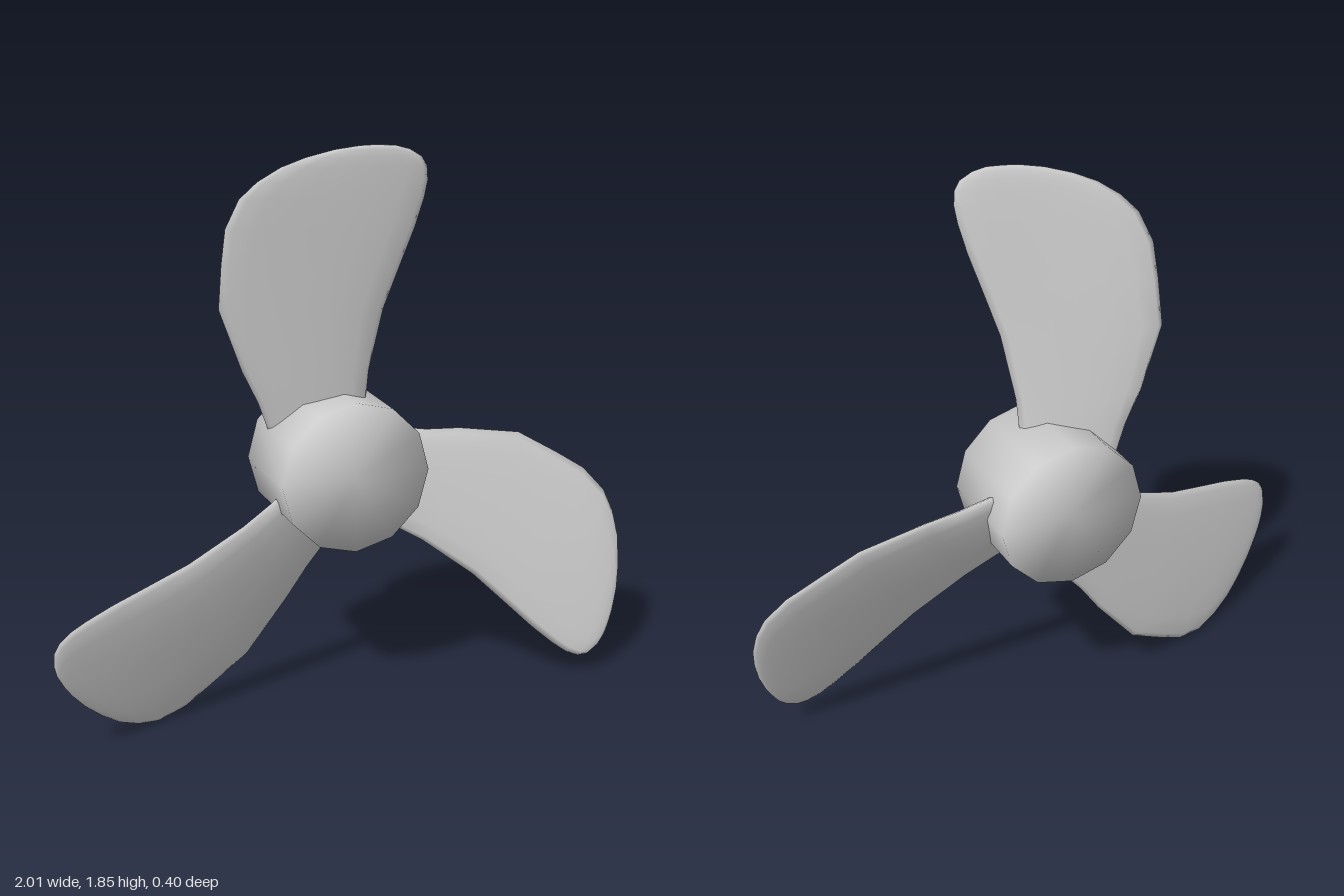
import * as THREE from 'three';
import { mergeVertices } from 'three/addons/utils/BufferGeometryUtils.js';

const BLADES = 3;
const SIDES = 16;

// Blade stations: distance from the axis, trailing x, leading x, half thickness
const STATIONS = [
  [0.08, -0.19, 0.085, 0.032],
  [0.25, -0.25, 0.076, 0.032],
  [0.36, -0.302, 0.078, 0.031],
  [0.57, -0.378, 0.107, 0.029],
  [0.72, -0.376, 0.148, 0.027],
  [0.835, -0.37, 0.18, 0.025],
  [0.93, -0.335, 0.2, 0.023],
  [0.985, -0.285, 0.206, 0.021],
  [1.03, -0.22, 0.2, 0.019],
  [1.06, -0.15, 0.182, 0.017],
  [1.083, -0.07, 0.145, 0.013],
  [1.094, 0, 0.105, 0.008],
  [1.097, 0.05, 0.05, 0],
];

// Pitch and rake of the blade, with a slight bow towards the trailing edge
function bladeZ(x, r) {
  const bow = -0.02 * Math.max(0, -x / 0.37) * Math.sin(Math.PI * Math.min(1, r / 1.1));
  return -0.05 + 0.307 * x + 0.178 * r + bow;
}

// Loft of flattened, round-edged sections along the blade
function bladeGeometry() {
  const positions = [];
  const index = [];
  STATIONS.forEach(([r, x0, x1, half], i) => {
    for (let j = 0; j < SIDES; j++) {
      const a = (j / SIDES) * Math.PI * 2;
      const x = (x0 + x1) / 2 + ((x1 - x0) / 2) * Math.cos(a);
      const s = Math.sin(a);
      positions.push(x, r, bladeZ(x, r) + half * Math.sign(s) * Math.pow(Math.abs(s), 0.7));
      if (i < STATIONS.length - 1) {
        const k = (j + 1) % SIDES;
        const p = i * SIDES + j, q = i * SIDES + k;
        index.push(p, q + SIDES, q, p, p + SIDES, q + SIDES);
      }
    }
  });
  const geometry = new THREE.BufferGeometry();
  geometry.setAttribute('position', new THREE.Float32BufferAttribute(positions, 3));
  geometry.setIndex(index);
  const welded = mergeVertices(geometry);
  welded.computeVertexNormals();
  return welded;
}

// Twelve-sided hub, welded so its shading runs smoothly over the rims
function hubGeometry() {
  const geometry = new THREE.CylinderGeometry(0.25, 0.25, 0.33, 12);
  geometry.rotateX(Math.PI / 2);
  geometry.deleteAttribute('normal');
  geometry.deleteAttribute('uv');
  const welded = mergeVertices(geometry);
  welded.computeVertexNormals();
  return welded;
}

export function createModel() {
  const group = new THREE.Group();
  group.name = 'propeller';
  const material = new THREE.MeshStandardMaterial({ color: 0xcccccc });

  const hub = new THREE.Mesh(hubGeometry(), material);
  hub.name = 'hub';
  hub.position.set(0, 0.8, -0.035);
  group.add(hub);

  // Blades spaced evenly round the axis
  const blade = bladeGeometry();
  for (let i = 0; i < BLADES; i++) {
    const mesh = new THREE.Mesh(blade, material);
    mesh.name = `blade${i + 1}`;
    mesh.position.y = 0.765;
    mesh.rotation.z = (i / BLADES) * Math.PI * 2;
    group.add(mesh);
  }
  return group;
}
